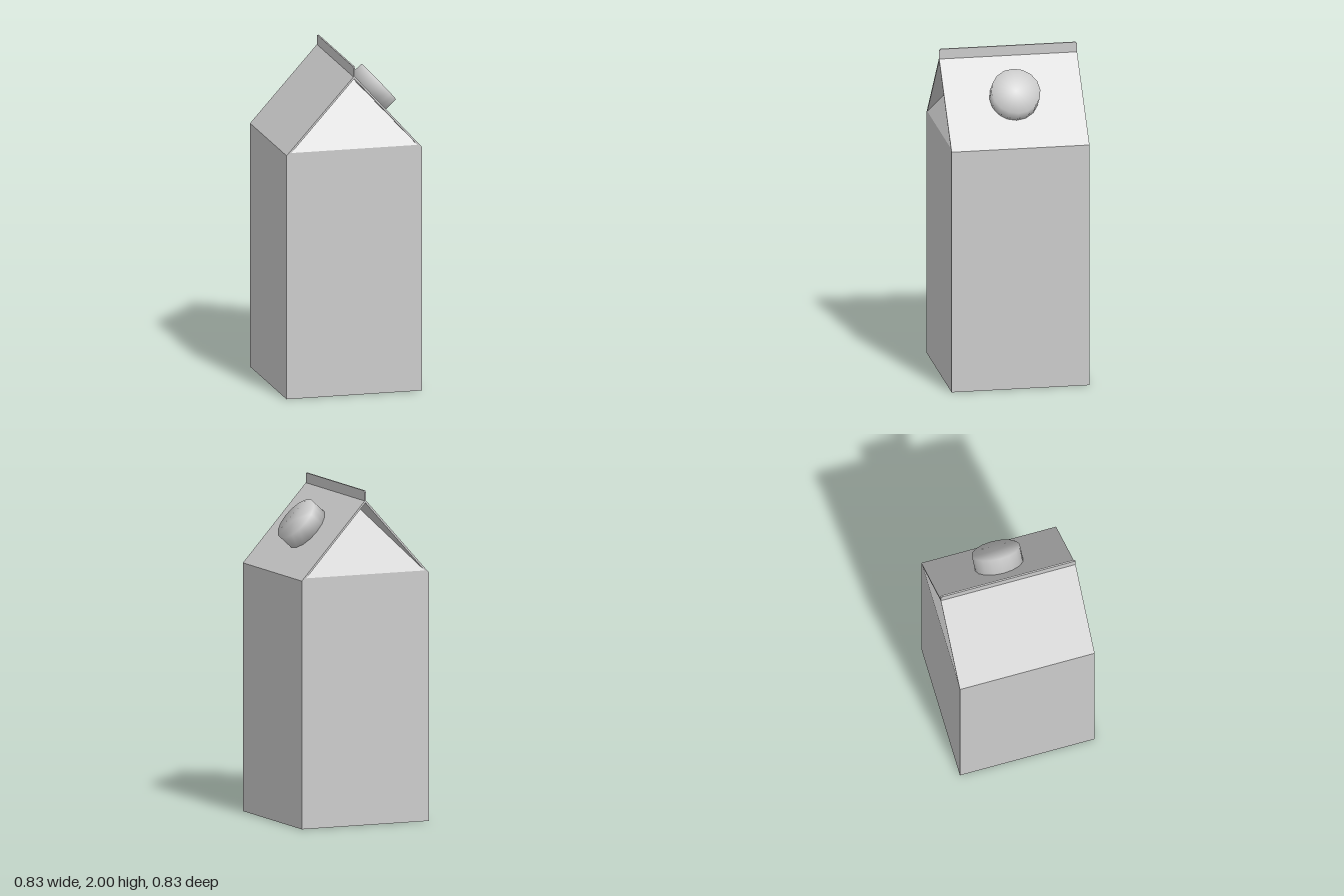
import * as THREE from 'three';
import { mergeVertices } from 'three/addons/utils/BufferGeometryUtils.js';

const HALF = 0.415;       // half width of the carton
const EAVE = 1.485;       // height where the roof starts
const RIDGE = 1.945;      // height of the roof ridge
const FOLD = 0.25;        // how far the gables fold inward at the top

// Extrude an outline of [x, y] points, centred on z
function extrude(points, depth) {
  const shape = new THREE.Shape(points.map(([x, y]) => new THREE.Vector2(x, y)));
  return new THREE.ExtrudeGeometry(shape, { depth, bevelEnabled: false }).translate(0, 0, -depth / 2);
}

export function createModel() {
  const group = new THREE.Group();
  const material = new THREE.MeshStandardMaterial({ color: 0xcccccc });
  const add = (name, geometry) => {
    const mesh = new THREE.Mesh(geometry, material);
    mesh.name = name;
    group.add(mesh);
    return mesh;
  };

  // Square body, its top corners cut along the roof slope
  add('body', extrude([
    [-HALF, 0], [HALF, 0], [HALF, EAVE], [0.4, 1.5], [-0.4, 1.5], [-HALF, EAVE],
  ], 2 * HALF));

  // Two sloping roof panels, made as one thin chevron
  add('roof', extrude([
    [HALF, EAVE], [0, RIDGE], [-HALF, EAVE], [-0.386, 1.5], [0, RIDGE - 0.017], [0.386, 1.5],
  ], 2 * HALF));

  // Triangular gables leaning inward under the roof, front and back
  for (const [name, turn] of [['frontGable', 0], ['backGable', Math.PI]]) {
    const gable = new THREE.BufferGeometry();
    gable.setAttribute('position', new THREE.Float32BufferAttribute([
      -0.39, 1.5, HALF, 0.39, 1.5, HALF, 0, RIDGE - 0.015, HALF - FOLD,
    ], 3));
    gable.computeVertexNormals();
    add(name, gable).rotation.y = turn;
  }

  // Sealed fin along the ridge, with clipped top corners
  add('topFin', extrude([
    [-HALF, RIDGE - 0.01], [HALF, RIDGE - 0.01], [HALF, 1.99], [HALF - 0.01, 2],
    [-HALF + 0.01, 2], [-HALF, 1.99],
  ], 0.01).rotateY(Math.PI / 2));

  // Screw cap standing square to the left roof panel, softly shaded over its rim
  let capGeometry = new THREE.CylinderGeometry(0.147, 0.147, 0.1, 16);
  capGeometry.deleteAttribute('normal');
  capGeometry.deleteAttribute('uv');
  capGeometry = mergeVertices(capGeometry);
  capGeometry.computeVertexNormals();
  const cap = add('cap', capGeometry);
  const normal = new THREE.Vector3(RIDGE - EAVE, HALF, 0).normalize();
  cap.quaternion.setFromUnitVectors(new THREE.Vector3(0, 1, 0), normal);
  cap.position.set(0.262, 1.795, 0).addScaledVector(normal, -0.05);

  return group;
}
